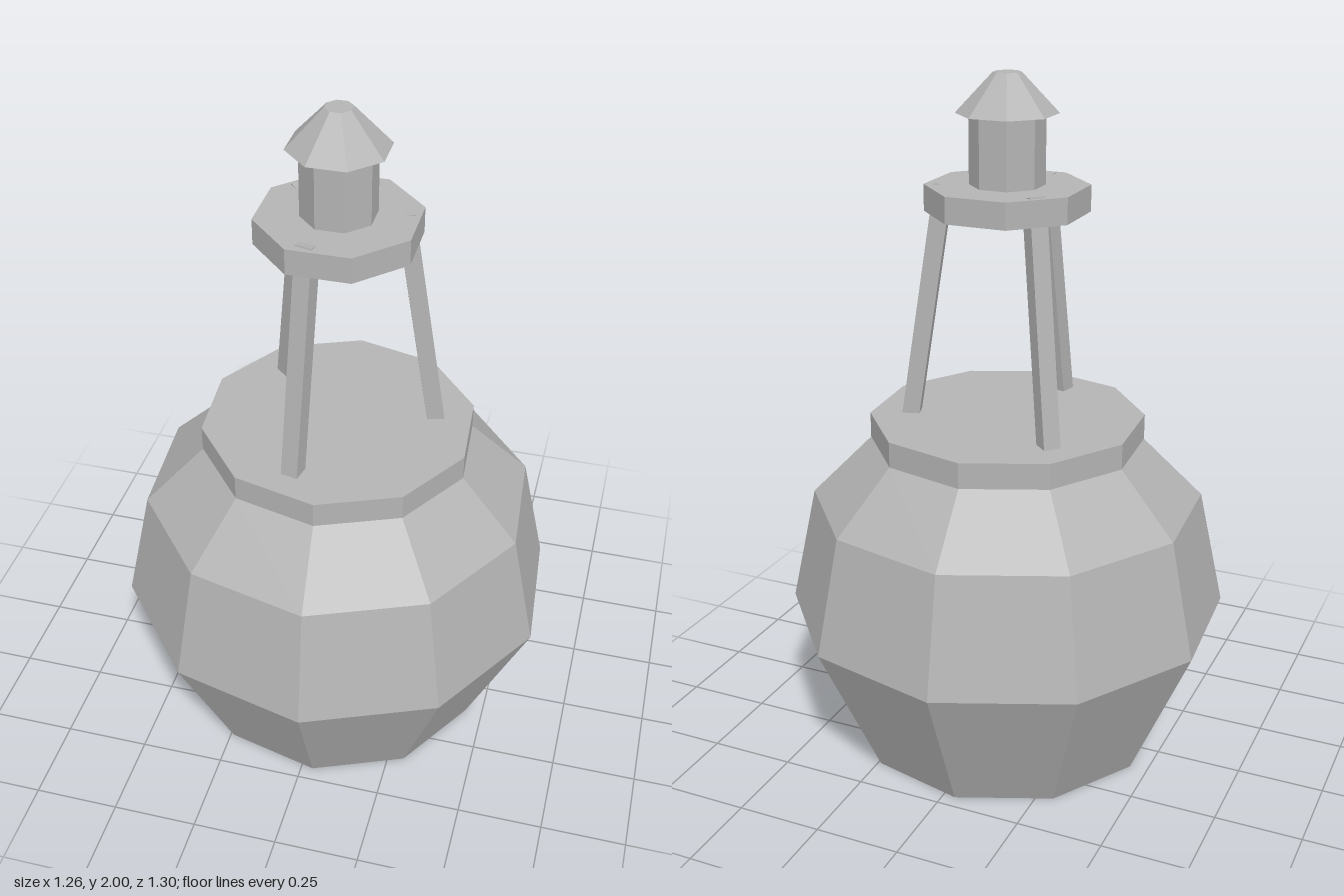
import * as THREE from 'three';

export function createModel() {
  const model = new THREE.Group();
  model.name = 'buoy';

  const grey = new THREE.MeshStandardMaterial({ color: 0xb4b4b4, flatShading: true, side: THREE.DoubleSide });
  grey.name = 'plain grey';

  const add = (name, geometry) => {
    const mesh = new THREE.Mesh(geometry, grey);
    mesh.name = name;
    model.add(mesh);
    return mesh;
  };

  // Ten-sided float, hollow and open underneath, closed by a flat deck
  const profile = [[0.46, 0], [0.65, 0.425], [0.575, 0.77], [0.4, 0.945], [0.4, 1.02], [0, 1.02]]
    .map(([r, y]) => new THREE.Vector2(r, y));
  add('float', new THREE.LatheGeometry(profile, 10, 0.077));

  // Three square legs leaning in towards the platform
  const up = new THREE.Vector3(0, 1, 0);
  for (let i = 0; i < 3; i++) {
    const angle = THREE.MathUtils.degToRad(-12.5 + i * 120);
    const foot = new THREE.Vector3(0, 1.01, 0.282);
    const top = new THREE.Vector3(0, 1.695, 0.176);
    const along = top.clone().sub(foot);
    const geometry = new THREE.BoxGeometry(0.05, along.length(), 0.05);
    geometry.applyQuaternion(new THREE.Quaternion().setFromUnitVectors(up, along.clone().normalize()));
    const mid = foot.add(top).multiplyScalar(0.5);
    geometry.translate(mid.x, mid.y, mid.z);
    add('leg' + (i + 1), geometry).rotation.y = angle;
  }

  // Eight-sided parts, sized by the half width across their flats
  const octagon = (name, topHalf, bottomHalf, y0, y1) => {
    const k = 1 / Math.cos(Math.PI / 8);
    const geometry = new THREE.CylinderGeometry(topHalf * k, bottomHalf * k, y1 - y0, 8, 1, false, Math.PI / 8);
    add(name, geometry).position.y = (y0 + y1) / 2;
  };
  octagon('platform', 0.214, 0.214, 1.62, 1.695);
  octagon('lantern', 0.098, 0.098, 1.695, 1.89);
  octagon('lanternRoof', 0.036, 0.132, 1.89, 2.0);

  return model;
}
